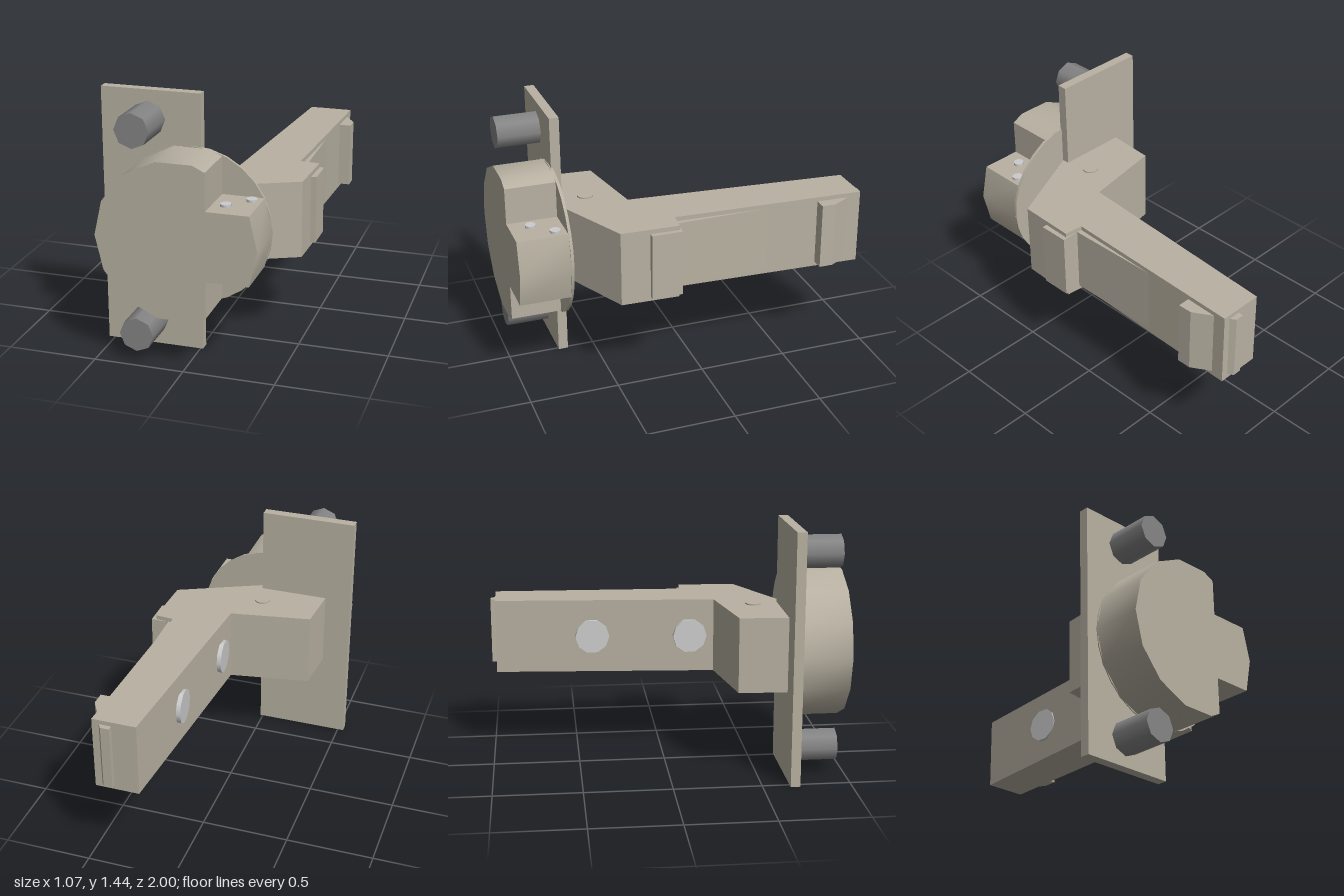
import * as THREE from 'three';
import { toCreasedNormals } from 'three/addons/utils/BufferGeometryUtils.js';

const MID = 0.72; // height of the horizontal symmetry plane

export function createModel() {
  const group = new THREE.Group();
  const body = new THREE.MeshStandardMaterial({ color: 0xb8b1a2 });
  const steel = new THREE.MeshStandardMaterial({ color: 0x858585 });
  const pinMat = new THREE.MeshStandardMaterial({ color: 0xcccccc });

  const add = (name, geo, mat = body) => {
    const mesh = new THREE.Mesh(geo, mat);
    mesh.name = name;
    group.add(mesh);
    return mesh;
  };
  const box = (name, x0, x1, y0, y1, z0, z1) =>
    add(name, new THREE.BoxGeometry(x1 - x0, y1 - y0, z1 - z0))
      .position.set((x0 + x1) / 2, (y0 + y1) / 2, (z0 + z1) / 2);
  const extrude = (points, depth) => new THREE.ExtrudeGeometry(
    new THREE.Shape(points.map(([x, y]) => new THREE.Vector2(x, y))),
    { depth, bevelEnabled: false });
  // Outline drawn in plan (x, z), extruded evenly about the mid height
  const planSlab = (name, points, halfHeight) => {
    const geo = extrude(points.map(([x, z]) => [x, -z]), halfHeight * 2);
    geo.rotateX(-Math.PI / 2).translate(0, MID - halfHeight, 0);
    return add(name, geo);
  };
  const rod = (name, r, length, sides, axis, x, y, z, mat) => {
    const geo = new THREE.CylinderGeometry(r, r, length, sides);
    if (axis === 'z') geo.rotateX(Math.PI / 2);
    if (axis === 'x') geo.rotateZ(Math.PI / 2);
    const mesh = add(name, geo, mat);
    mesh.position.set(x, y, z);
    return mesh;
  };

  // Mounting plate with two dowels
  box('mountingPlate', -0.535, 0.015, 0, 1.44, 0.655, 0.71);
  for (const s of [-1, 1])
    rod('dowel', 0.095, 0.245, 8, 'z', -0.275, MID + s * 0.565, 0.8325, steel);

  // Fourteen-sided cup, notched above and below a central prong
  const cx = -0.035, r = 0.44, notchX = 0.13;
  const corner = k => {
    const a = k * Math.PI / 7;
    return [cx + r * Math.cos(a), MID + r * Math.sin(a)];
  };
  const cup = [corner(0), corner(1), [notchX, MID + 0.191], [notchX, MID + 0.397]];
  for (let k = 3; k <= 11; k++) cup.push(corner(k));
  cup.push([notchX, MID - 0.397], [notchX, MID - 0.191], corner(13));
  const cupGeo = toCreasedNormals(extrude(cup, 0.29).translate(0, 0, 0.71), 0.6);
  add('cup', cupGeo);
  rod('cupRim', 0.437, 0.016, 28, 'z', cx, MID, 0.708);
  box('cupNeck', -0.1, 0.065, 0.53, 0.905, 0.67, 0.71);

  // Pivot pins on the prong
  for (const s of [-1, 1])
    for (const [x, z] of [[0.205, 0.885], [0.31, 0.775]])
      rod('pivotPin', 0.03, 0.03, 12, 'y', x, MID + s * 0.19, z, pinMat);

  // Cranked arm
  planSlab('arm', [
    [0.19, -0.97], [0.44, -0.97], [0.402, 0.13], [0.51, 0.14], [0.5, 0.47],
    [0.02, 0.695], [-0.385, 0.695], [-0.362, 0.38], [0.1, 0.3],
  ], 0.215);
  planSlab('armPanel', [
    [0.36, -0.6], [0.417, -0.6], [0.432, 0.14], [0.36, 0.14],
  ], 0.19);

  // Catches on the outer side and the far end
  planSlab('sideCatch', [[0.45, 0.13], [0.535, 0.13], [0.535, 0.305], [0.45, 0.305]], 0.19);
  planSlab('rampCatch', [[0.42, -0.9], [0.435, -0.9], [0.5, -0.79], [0.5, -0.71], [0.42, -0.71]], 0.19);
  planSlab('endCatch', [[0.33, -1], [0.38, -1], [0.4, -0.97], [0.4, -0.95], [0.33, -0.95]], 0.19);

  // Screw heads on the inner side, set square to the tapered face
  for (const [x, z] of [[0.103, 0.16], [0.144, -0.41]])
    rod('screwHead', 0.1, 0.025, 10, 'x', x, MID, z, pinMat).rotation.y = 0.071;

  // Rivet through the elbow
  rod('elbowRivet', 0.045, 0.446, 12, 'y', -0.03, MID, 0.51);

  return group;
}
